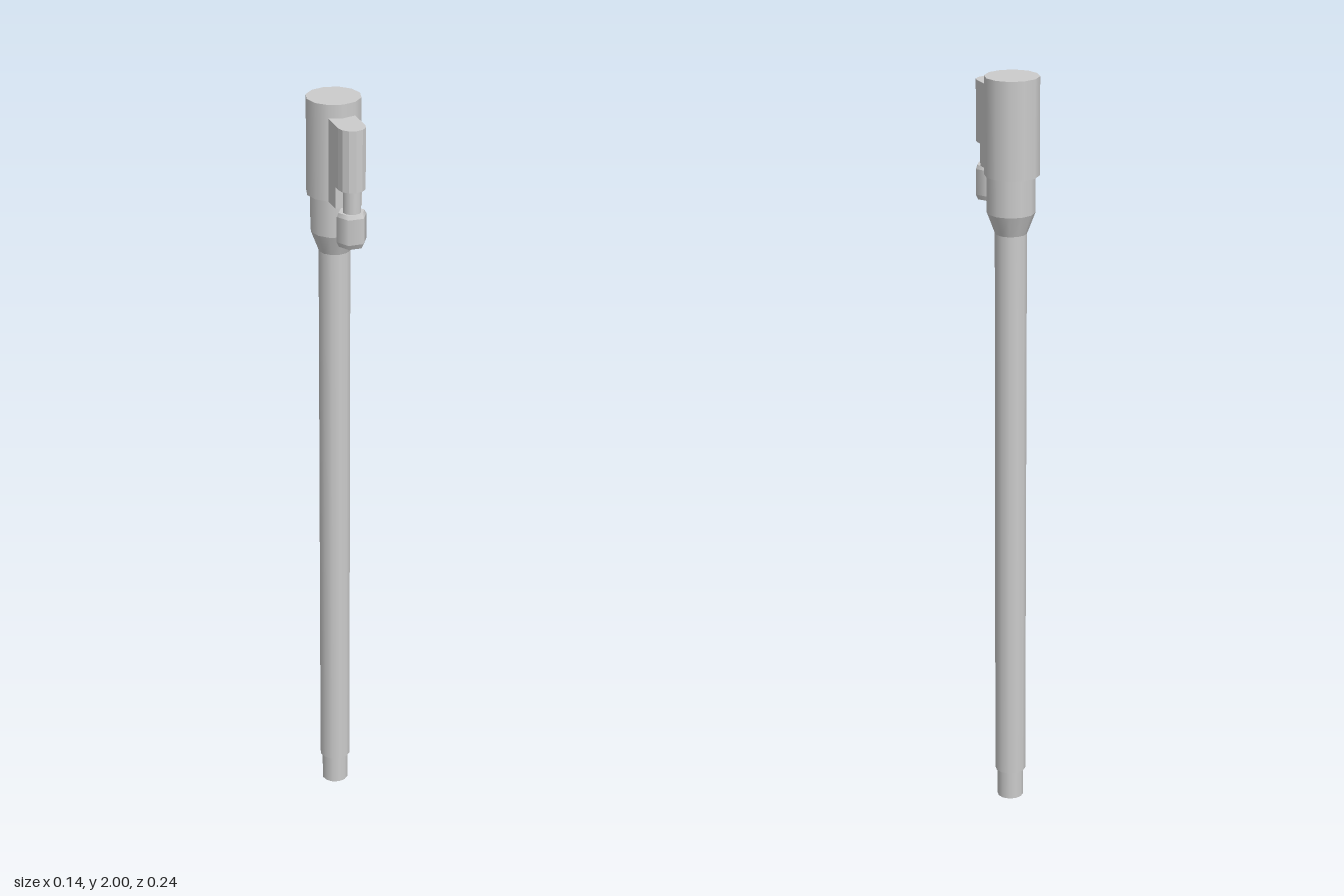
import * as THREE from 'three';

const material = new THREE.MeshStandardMaterial({ color: 0xcccccc });

// Upright cylinder or cone frustum between two heights
function column(name, rBottom, rTop, y0, y1, z, sides = 12, turn = 0) {
  const geometry = new THREE.CylinderGeometry(rTop, rBottom, y1 - y0, sides, 1, false, turn);
  const mesh = new THREE.Mesh(geometry, material);
  mesh.name = name;
  mesh.position.set(0, (y0 + y1) / 2, z);
  return mesh;
}

// Upright prism from a plan outline given as [x, z] points
function prism(name, plan, y0, y1) {
  const shape = new THREE.Shape(plan.map(([x, z]) => new THREE.Vector2(x, -z)));
  const geometry = new THREE.ExtrudeGeometry(shape, { depth: y1 - y0, bevelEnabled: false });
  geometry.rotateX(-Math.PI / 2);
  const mesh = new THREE.Mesh(geometry, material);
  mesh.name = name;
  mesh.position.y = y0;
  return mesh;
}

export function createModel() {
  const model = new THREE.Group();
  model.name = 'tubeWithSideLug';
  const pipeZ = -0.044, bodyZ = -0.05, lugZ = 0.083;

  // Long tube with a narrower tip at the foot
  model.add(column('tip', 0.035, 0.035, 0, 0.085, pipeZ));
  model.add(column('tube', 0.041, 0.041, 0.08, 1.6, pipeZ));

  // Collar flaring out under the body
  model.add(column('collarTaper', 0.041, 0.062, 1.595, 1.65, pipeZ));
  model.add(column('collar', 0.062, 0.062, 1.65, 1.755, pipeZ));

  // Main body
  model.add(column('body', 0.07, 0.07, 1.748, 2, bodyZ));

  // Lug with a rounded front, and the web that ties it to the body
  const lugPlan = [[-0.035, -0.03]];
  for (let i = 0; i <= 6; i++) {
    const a = Math.PI * (1 - i / 6);
    lugPlan.push([0.035 * Math.cos(a), lugZ + 0.035 * Math.sin(a)]);
  }
  lugPlan.push([0.035, -0.03]);
  model.add(prism('lug', lugPlan, 1.805, 1.965));
  const webPlan = [[-0.035, -0.03], [-0.035, 0.062], [0.035, 0.062], [0.035, -0.03]];
  model.add(prism('web', webPlan, 1.748, 1.805));

  // Neck and six-sided knob hanging below the lug
  const turn = Math.PI / 6;
  model.add(column('neck', 0.023, 0.023, 1.735, 1.81, lugZ + 0.003));
  const knob = new THREE.Group();
  knob.name = 'knob';
  knob.add(column('knobBottomBevel', 0.033, 0.039, 1.655, 1.668, lugZ, 6, turn));
  knob.add(column('knobSides', 0.039, 0.039, 1.668, 1.735, lugZ, 6, turn));
  knob.add(column('knobTopBevel', 0.039, 0.034, 1.735, 1.745, lugZ, 6, turn));
  model.add(knob);

  return model;
}
